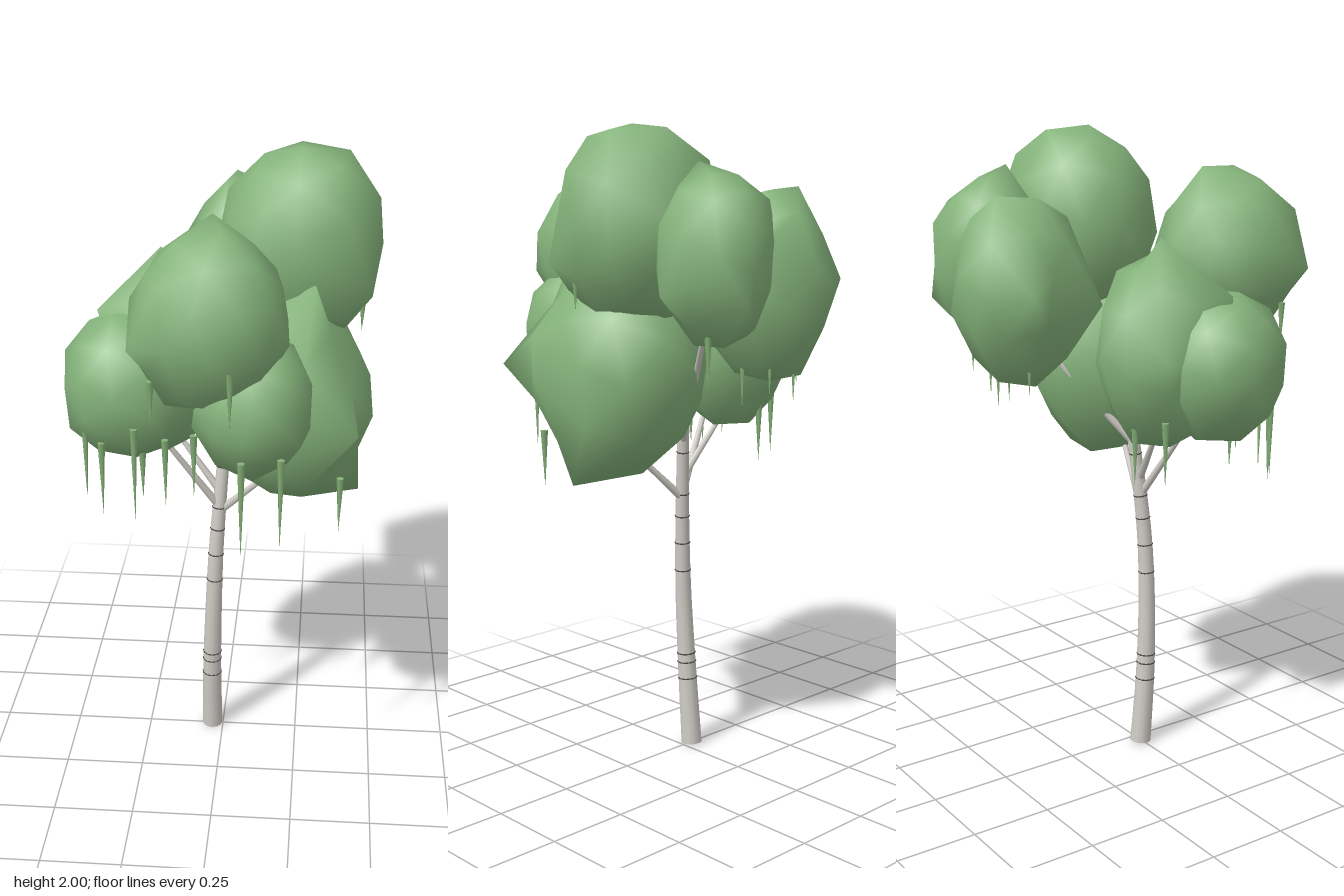
import * as THREE from 'three';
import { mergeVertices } from 'three/addons/utils/BufferGeometryUtils.js';

const V = (p) => new THREE.Vector3(...p);

function seeded(seed) {
  let s = seed * 7919 + 17;
  return () => (s = (s * 16807) % 2147483647) / 2147483647;
}

// Lumpy smooth crown fitted between two limits; each peak pulls the nearest vertex to it
function crownGeometry(min, max, seed, peaks) {
  const rand = seeded(seed);
  let geo = new THREE.IcosahedronGeometry(1, 1);
  geo.deleteAttribute('uv');
  geo.deleteAttribute('normal');
  geo = mergeVertices(geo, 1e-3);
  geo.rotateY(seed * 1.3).rotateX(seed * 0.7);
  const pos = geo.attributes.position;
  const v = new THREE.Vector3();
  for (let i = 0; i < pos.count; i++) {
    v.fromBufferAttribute(pos, i).multiplyScalar(0.94 + 0.12 * rand());
    pos.setXYZ(i, v.x, v.y, v.z);
  }
  geo.computeBoundingBox();
  const lo = geo.boundingBox.min.clone();
  const size = geo.boundingBox.getSize(new THREE.Vector3());
  const span = V(max).sub(V(min));
  for (let i = 0; i < pos.count; i++) {
    v.fromBufferAttribute(pos, i).sub(lo).divide(size).multiply(span).add(V(min));
    pos.setXYZ(i, v.x, v.y, v.z);
  }
  for (const peak of peaks) {
    const target = V(peak);
    let best = 0, bestDistance = Infinity;
    for (let i = 0; i < pos.count; i++) {
      const d = v.fromBufferAttribute(pos, i).distanceTo(target);
      if (d < bestDistance) { bestDistance = d; best = i; }
    }
    pos.setXYZ(best, ...peak);
  }
  geo.computeVertexNormals();
  return geo;
}

// Tapered tube along a curve
function limbGeometry(curve, r0, r1, segments, sides) {
  const geo = new THREE.TubeGeometry(curve, segments, 1, sides);
  const { position, normal } = geo.attributes;
  const n = new THREE.Vector3();
  for (let i = 0; i < position.count; i++) {
    const t = Math.floor(i / (sides + 1)) / segments;
    n.fromBufferAttribute(normal, i).multiplyScalar(r0 + (r1 - r0) * t).add(curve.getPointAt(t));
    position.setXYZ(i, n.x, n.y, n.z);
  }
  return geo;
}

export function createModel() {
  const model = new THREE.Group();
  const material = (name, color) => Object.assign(new THREE.MeshStandardMaterial({ color }), { name });
  const bark = material('paleBark', 0xd0cdc6);
  const dark = material('darkBark', 0x4d4a48);
  const leaf = material('leafGreen', 0x86b47c);
  const catkinGreen = material('catkinGreen', 0x84b076);

  const add = (name, geo, mat, parent = model) => {
    const mesh = new THREE.Mesh(geo, mat);
    mesh.name = name;
    parent.add(mesh);
    return mesh;
  };
  const group = (name) => {
    const g = new THREE.Group();
    g.name = name;
    model.add(g);
    return g;
  };

  // Curved trunk with a closed foot
  const trunkCurve = new THREE.CatmullRomCurve3([
    [-0.036, 0, -0.002], [-0.035, 0.25, 0.018], [-0.028, 0.5, 0.028], [-0.02, 0.7, 0.025],
    [-0.008, 0.88, 0.012], [0.004, 1.05, -0.005], [0.02, 1.45, -0.06],
  ].map(V));
  const radiusAt = (t) => 0.034 - 0.021 * t;
  add('trunk', limbGeometry(trunkCurve, radiusAt(0), radiusAt(1), 24, 12), bark);
  const foot = add('trunkFoot', new THREE.CircleGeometry(0.034, 12), bark);
  foot.rotation.x = Math.PI / 2;
  foot.position.set(-0.036, 0.001, -0.002);

  // Dark bark rings
  const rings = group('barkRings');
  for (const y of [0.22, 0.275, 0.305, 0.585, 0.68, 0.77, 0.845, 0.985]) {
    let t = 0;
    while (trunkCurve.getPointAt(t).y < y) t += 0.002;
    const ring = add('barkRing', new THREE.TorusGeometry(radiusAt(t) - 0.001, 0.003, 4, 14), dark, rings);
    ring.position.copy(trunkCurve.getPointAt(t));
    ring.quaternion.setFromUnitVectors(new THREE.Vector3(0, 0, 1), trunkCurve.getTangentAt(t));
  }

  // Branches reaching into the crowns
  const branches = group('branches');
  for (const [from, to] of [
    [[-0.012, 0.85, 0.015], [-0.24, 1.2, 0.1]],
    [[-0.008, 0.9, 0.012], [-0.18, 1.13, -0.03]],
    [[0, 0.84, 0.015], [0.22, 1.06, 0.08]],
    [[0.004, 1.02, -0.002], [0.24, 1.5, -0.36]],
    [[0.006, 1.1, -0.01], [-0.01, 1.5, 0.34]],
    [[0.01, 1.2, -0.02], [0.23, 1.6, -0.04]],
  ]) {
    add('branch', limbGeometry(new THREE.LineCurve3(V(from), V(to)), 0.013, 0.006, 1, 7), bark, branches);
  }

  // Leaf crowns: lower limit, upper limit, peaks
  const crowns = group('crowns');
  [
    ['frontUpperCrown', [-0.24, 1.35, 0.14], [0.215, 1.87, 0.585],
      [[-0.015, 1.62, 0.11], [-0.225, 1.56, 0.51], [-0.01, 1.875, 0.25]]],
    ['topCrown', [-0.02, 1.4, -0.28], [0.475, 2, 0.2], [[0.34, 1.73, -0.295], [0.445, 1.6, 0.11]]],
    ['frontRightCrown', [-0.48, 1.07, -0.11], [-0.05, 1.53, 0.315], [[-0.38, 1.09, 0.12]]],
    ['frontLeftCrown', [-0.06, 1.14, 0.18], [0.28, 1.555, 0.55], []],
    ['largeLeftCrown', [-0.04, 0.95, -0.21], [0.46, 1.56, 0.36],
      [[0.43, 0.935, 0.03], [0.28, 1.65, 0.18], [0.415, 1.27, 0.383], [0.46, 1.25, 0.18], [0.27, 1.03, 0.24]]],
    ['rightCrown', [-0.36, 1.06, -0.245], [0.01, 1.64, 0.19],
      [[-0.37, 1.53, 0.09], [-0.19, 1.69, -0.04], [-0.355, 1.35, -0.13]]],
    ['backCrown', [-0.14, 1.25, -0.59], [0.24, 1.81, -0.19],
      [[-0.19, 1.55, -0.475], [-0.135, 1.5, -0.21], [0.19, 1.65, -0.51], [0.01, 1.82, -0.48]]],
    ['backLeftCrown', [0.06, 1.37, -0.55], [0.4, 1.86, -0.19],
      [[0.24, 1.89, -0.31], [0.29, 1.5, -0.55], [0.41, 1.52, -0.33], [0.06, 1.7, -0.32]]],
  ].forEach(([name, min, max, peaks], i) => {
    add(name, crownGeometry(min, max, i + 1, peaks), leaf, crowns);
  });

  // Hanging catkins: x, top y, z, length
  const catkins = group('catkins');
  for (const [x, y, z, length] of [
    [-0.4, 1.24, 0.22, 0.28], [-0.345, 1.17, 0.26, 0.24], [-0.24, 1.24, 0.31, 0.3],
    [-0.15, 1.2, 0.29, 0.22], [-0.06, 1.24, 0.34, 0.2], [-0.23, 1.12, 0.2, 0.16],
    [0.09, 1.24, 0.52, 0.3], [0.2, 1.24, 0.49, 0.28], [0.37, 1.07, 0.24, 0.18],
    [0.06, 1.52, 0.55, 0.17], [0.155, 1.52, 0.47, 0.07], [-0.17, 1.45, 0.45, 0.14],
    [0.02, 1.4, -0.48, 0.2], [0.1, 1.4, -0.46, 0.18], [0.13, 1.38, -0.38, 0.2],
    [-0.06, 1.4, -0.42, 0.16], [0.3, 1.42, -0.41, 0.17], [0.42, 1.57, 0.02, 0.11],
    [-0.3, 1.16, -0.1, 0.2], [-0.2, 1.13, -0.14, 0.18],
  ]) {
    const geo = new THREE.ConeGeometry(0.012, length, 5).rotateX(Math.PI);
    add('catkin', geo, catkinGreen, catkins).position.set(x, y - length / 2, z);
  }

  return model;
}
